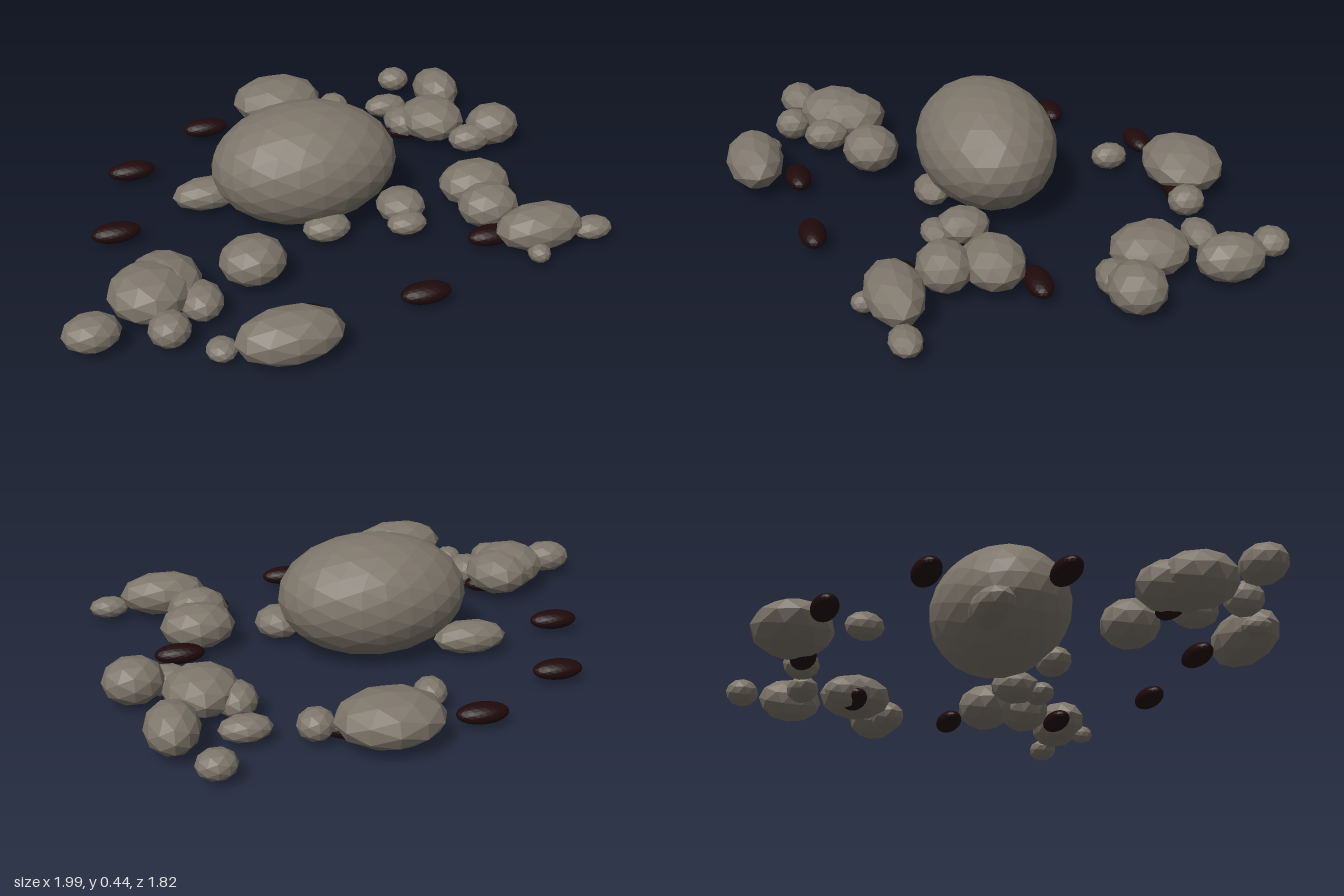
import * as THREE from 'three';

export function createModel() {
  const group = new THREE.Group();
  const stone = new THREE.MeshStandardMaterial({ color: 0x7d756a, flatShading: true });
  stone.name = 'warm grey stone';
  const ember = new THREE.MeshStandardMaterial({ color: 0x1f090b, flatShading: true });
  ember.name = 'dark maroon';

  const boulderGeo = new THREE.IcosahedronGeometry(1, 3);
  const rockGeo = new THREE.IcosahedronGeometry(1, 1);
  const pebbleGeo = new THREE.IcosahedronGeometry(1, 3);

  function blob(name, geo, mat, pos, radii) {
    const m = new THREE.Mesh(geo, mat);
    m.name = name;
    m.position.set(...pos);
    m.scale.set(...radii);
    group.add(m);
  }

  // Large central boulder
  blob('centralBoulder', boulderGeo, stone, [-0.015, 0.22, -0.02], [0.345, 0.22, 0.253]);

  // Ring of ten flat dark stones
  for (let i = 0; i < 10; i++) {
    const a = (i * Math.PI) / 5;
    blob('darkStone' + (i + 1), pebbleGeo, ember,
      [-0.015 + 0.705 * Math.cos(a), 0.047, -0.02 + 0.705 * Math.sin(a)], [0.09, 0.035, 0.047]);
  }

  // Scattered rocks: x, z, radius x, radius z, top height
  const rocks = [
    [0.09, -0.75, 0.185, 0.15, 0.19],
    [0.315, -0.68, 0.065, 0.068, 0.12],
    [-0.1, -0.53, 0.058, 0.07, 0.11],
    [0.65, -0.855, 0.068, 0.062, 0.11],
    [0.535, -0.64, 0.09, 0.06, 0.1],
    [0.765, -0.655, 0.092, 0.123, 0.175],
    [0.65, -0.415, 0.13, 0.14, 0.175],
    [0.54, -0.465, 0.072, 0.09, 0.13],
    [0.865, -0.295, 0.108, 0.1, 0.175],
    [0.755, -0.26, 0.09, 0.065, 0.12],
    [-0.35, -0.15, 0.135, 0.077, 0.13],
    [0.305, 0.14, 0.092, 0.095, 0.13],
    [0.295, 0.235, 0.075, 0.055, 0.09],
    [0.005, 0.19, 0.09, 0.065, 0.11],
    [0.61, 0.11, 0.138, 0.11, 0.178],
    [0.595, 0.27, 0.115, 0.097, 0.175],
    [0.71, 0.455, 0.165, 0.1, 0.175],
    [0.92, 0.46, 0.075, 0.055, 0.09],
    [0.67, 0.545, 0.04, 0.045, 0.08],
    [-0.315, 0.36, 0.12, 0.108, 0.18],
    [-0.63, 0.39, 0.13, 0.14, 0.18],
    [-0.69, 0.445, 0.14, 0.14, 0.19],
    [-0.53, 0.5, 0.077, 0.09, 0.13],
    [-0.66, 0.62, 0.072, 0.07, 0.13],
    [-0.9, 0.567, 0.098, 0.078, 0.135],
    [-0.52, 0.737, 0.052, 0.055, 0.08],
    [-0.315, 0.8, 0.182, 0.107, 0.19],
  ];
  rocks.forEach(([x, z, rx, rz, top], i) => {
    const bottom = 0.01;
    blob('rock' + (i + 1), rockGeo, stone, [x, (top + bottom) / 2, z], [rx, (top - bottom) / 2, rz]);
  });

  return group;
}
